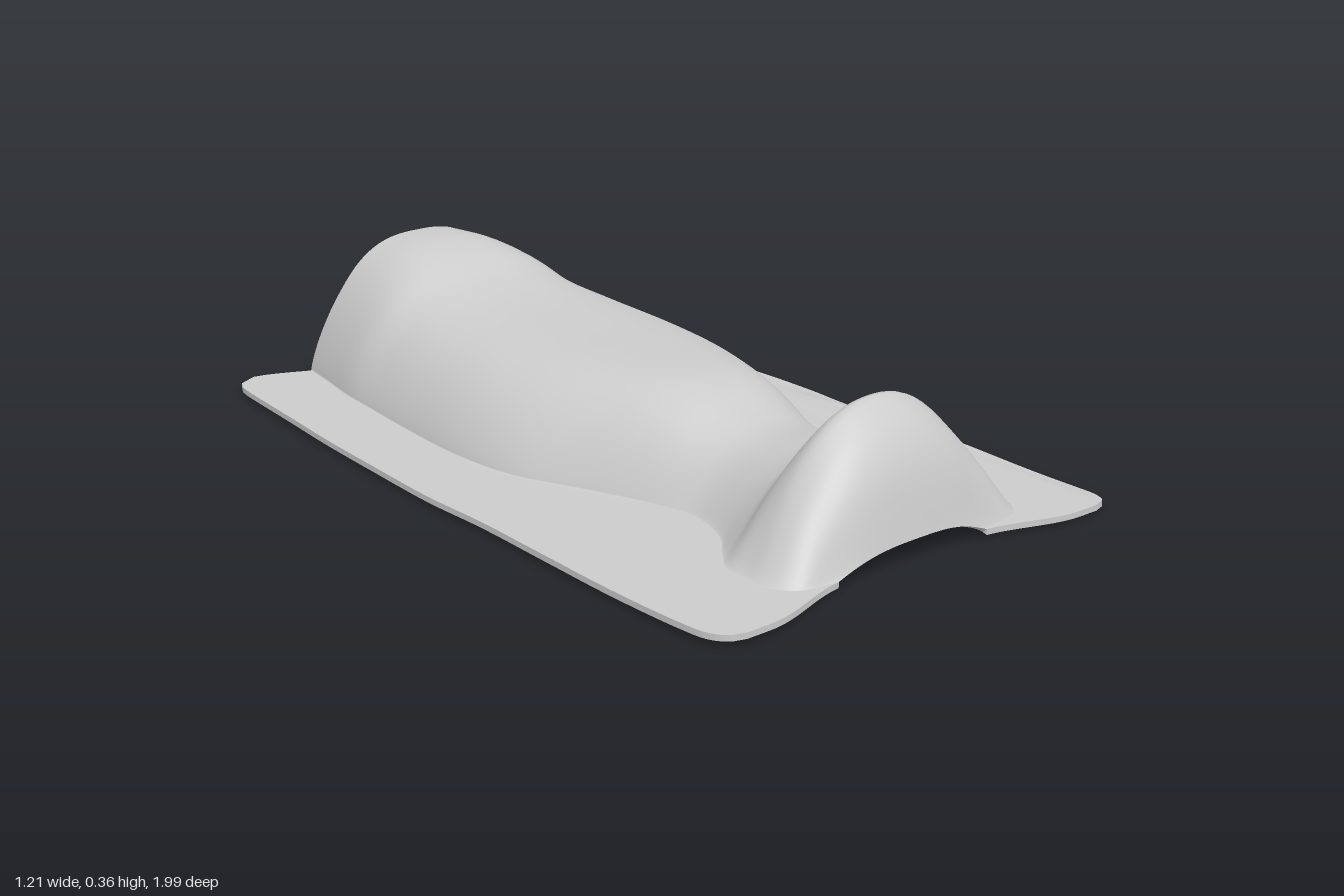
import * as THREE from 'three';

// Stations along the drape: z, crest height, left-hand foot (-x), right-hand foot (+x), roundness, wall falloff
const BODY = [
  [-0.92, 0.335, 0.31, 0.34, 2.8, 0.8], [-0.8, 0.335, 0.33, 0.39, 2.7, 0.8],
  [-0.7, 0.312, 0.35, 0.42, 2.8, 0.8], [-0.6, 0.27, 0.36, 0.44, 3, 0.85],
  [-0.45, 0.243, 0.375, 0.46, 3.3, 0.85], [-0.2, 0.23, 0.39, 0.45, 3.5, 0.85],
  [0, 0.228, 0.37, 0.42, 3.3, 0.9], [0.2, 0.225, 0.29, 0.35, 3, 0.95],
  [0.3, 0.207, 0.25, 0.32, 2.8, 1], [0.4, 0.17, 0.22, 0.29, 2.7, 1.1],
  [0.48, 0.156, 0.21, 0.28, 2.6, 1.2], [0.6, 0.17, 0.25, 0.29, 2.4, 1.3],
  [0.67, 0.19, 0.31, 0.35, 2.3, 1.4], [0.72, 0.26, 0.35, 0.38, 2.3, 1.4],
  [0.77, 0.312, 0.36, 0.4, 2.3, 1.4], [0.81, 0.295, 0.36, 0.39, 2.3, 1.3],
  [0.86, 0.245, 0.34, 0.36, 2.4, 1.2], [0.9, 0.165, 0.3, 0.31, 2.6, 1.2],
  [0.93, 0.035, 0.22, 0.23, 3, 1.2],
];
// Outer hem: z, left-hand edge (-x), right-hand edge (+x)
const HEM = [
  [-0.92, 0.515, 0.515], [-0.75, 0.538, 0.542], [-0.5, 0.565, 0.565], [-0.2, 0.585, 0.59],
  [0, 0.595, 0.592], [0.2, 0.592, 0.58], [0.45, 0.6, 0.598], [0.65, 0.606, 0.6],
  [0.8, 0.603, 0.595], [0.93, 0.59, 0.585],
];
const CENTRE = 0.025, FLAT = 0.024, THICK = 0.014;
const FLANGE = 12, ARCH = 48, ROWS = 60, FRONT_ROWS = 28;

// Smooth interpolation through a station table
function sample(table, z) {
  let k = 0;
  while (k < table.length - 2 && z > table[k + 1][0]) k++;
  const a = table[k], b = table[k + 1];
  const span = b[0] - a[0], t = (z - a[0]) / span;
  const before = table[Math.max(k - 1, 0)], after = table[Math.min(k + 2, table.length - 1)];
  return a.slice(1).map((va, n) => {
    const vb = b[n + 1];
    const m0 = (vb - before[n + 1]) / (b[0] - before[0]) * span;
    const m1 = (after[n + 1] - va) / (after[0] - a[0]) * span;
    const t2 = t * t, t3 = t2 * t;
    return (2 * t3 - 3 * t2 + 1) * va + (t3 - 2 * t2 + t) * m0 + (3 * t2 - 2 * t3) * vb + (t3 - t2) * m1;
  });
}

const { smoothstep, lerp } = THREE.MathUtils;
const bell = (x, mid, width) => Math.exp(-(((x - mid) / width) ** 2));

// One cross-section: flat flange, arch, flat flange
function section(z0) {
  const [height, footL, footR, power, fall] = sample(BODY, z0);
  const [hemL, hemR] = sample(HEM, z0);
  // round off the four corners
  const r = 0.07, into = Math.max(0, z0 > 0 ? (z0 - 0.93 + r) / r : (-z0 - 0.92 + r) / r);
  const inset = 0.06 * (1 - Math.sqrt(Math.max(0, 1 - into * into)));
  const edgeL = -hemL + inset, edgeR = hemR - inset;
  const points = [];
  for (let i = 0; i <= ARCH + 2 * FLANGE; i++) {
    let x, rise = 0;
    if (i < FLANGE) x = lerp(edgeL, -footL, i / FLANGE);
    else if (i > FLANGE + ARCH) x = lerp(footR, edgeR, (i - FLANGE - ARCH) / FLANGE);
    else {
      const s = -Math.cos(Math.PI * (i - FLANGE) / ARCH);
      x = s < 0 ? CENTRE + s * (footL + CENTRE) : CENTRE + s * (footR - CENTRE);
      rise = height * Math.pow(Math.max(0, 1 - Math.pow(Math.abs(s), power)), fall);
    }
    // flange corners reach past the arch at both ends
    const out = smoothstep(Math.abs(x), 0.2, 0.47);
    const reach = z0 > 0 ? 0.062 * smoothstep(z0, 0.6, 0.93) : -(x < 0 ? 0.08 : 0.058) * smoothstep(-z0, 0.6, 0.92);
    // soft ripple along the +x flange
    const ripple = 0.022 * bell(x, 0.53, 0.03) * (bell(z0, 0.2, 0.18) + 0.7 * bell(z0, -0.45, 0.2))
      - 0.009 * smoothstep(x, 0.55, 0.59) * bell(z0, 0.75, 0.2);
    points.push(new THREE.Vector3(x, FLAT + rise + ripple, z0 + out * reach));
  }
  return points;
}

// Surface through a grid of points
function skin(rows, flip) {
  const w = rows[0].length, index = [];
  for (let j = 0; j < rows.length - 1; j++) {
    for (let i = 0; i < w - 1; i++) {
      const a = j * w + i, b = a + 1, c = a + w, d = c + 1;
      if (flip) index.push(a, b, c, b, d, c);
      else index.push(a, c, b, b, c, d);
    }
  }
  const geometry = new THREE.BufferGeometry().setFromPoints(rows.flat());
  geometry.setIndex(index);
  geometry.computeVertexNormals();
  return geometry;
}

// Points around the border of a grid, closed
function border(rows) {
  const last = rows.length - 1, w = rows[0].length - 1;
  return [
    ...rows[0].slice(0, w),
    ...rows.slice(0, last).map(row => row[w]),
    ...rows[last].slice(1).reverse(),
    ...rows.slice(1).reverse().map(row => row[0]),
    rows[0][0],
  ];
}

export function createModel() {
  const group = new THREE.Group();
  group.name = 'drapedSheet';
  const material = new THREE.MeshStandardMaterial({ color: 0xcccccc, side: THREE.DoubleSide });
  const add = (name, geometry) => {
    const mesh = new THREE.Mesh(geometry, material);
    mesh.name = name;
    group.add(mesh);
  };

  // upper face, with closer rows over the steep front hump
  const upper = [];
  for (let j = 0; j < ROWS; j++) upper.push(section(lerp(-0.92, 0.65, j / ROWS)));
  for (let j = 0; j <= FRONT_ROWS; j++) upper.push(section(lerp(0.65, 0.93, j / FRONT_ROWS)));
  const top = skin(upper, false);
  add('sheetTop', top);

  // underside, offset inward by the cloth thickness
  const normals = top.attributes.normal, w = upper[0].length;
  const lower = upper.map((row, j) => row.map((p, i) => {
    const n = new THREE.Vector3().fromBufferAttribute(normals, j * w + i);
    const q = p.clone().addScaledVector(n, -THICK);
    q.y = Math.max(q.y, 0);
    return q;
  }));
  add('sheetUnderside', skin(lower, true));

  // hem closing the thickness all round
  add('hem', skin([border(upper), border(lower)], true));
  return group;
}
